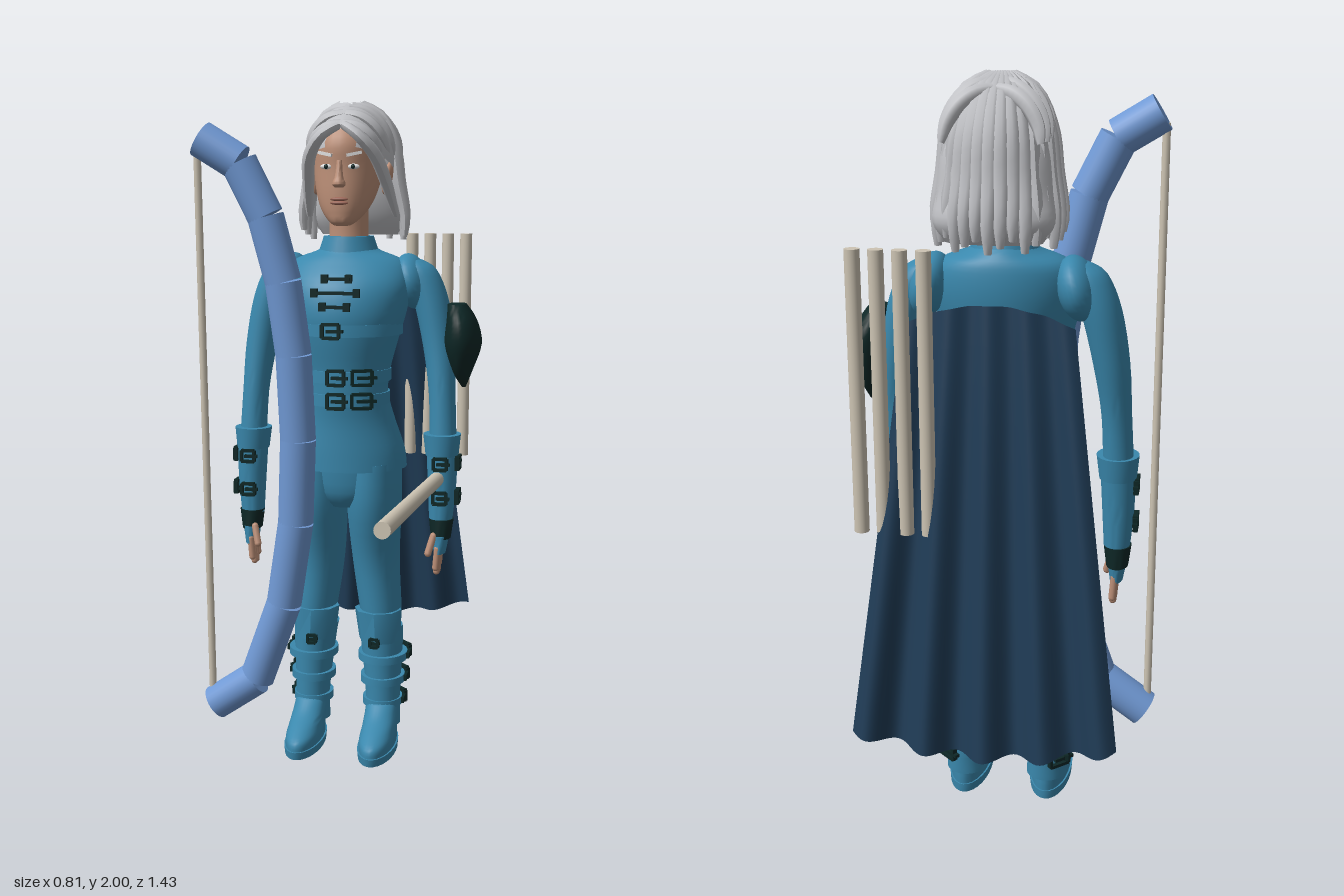
import * as THREE from 'three';
import { toCreasedNormals } from 'three/addons/utils/BufferGeometryUtils.js';

const mat = (name, color, side = THREE.FrontSide) => {
  const m = new THREE.MeshStandardMaterial({ color, side });
  m.name = name;
  return m;
};

export function createModel() {
  const root = new THREE.Group();
  root.name = 'archer';
  const cloth = mat('teal cloth', 0x3a88ad), dark = mat('black leather', 0x0e2726);
  const skin = mat('skin', 0xbd9078), hairMat = mat('silver hair', 0xbfc0c4);
  const bowMat = mat('blue bow', 0x7099d4), wood = mat('pale wood', 0xcdc4b3);
  const capeMat = mat('navy cape', 0x1f3b55, THREE.DoubleSide);
  const pale = mat('white brow', 0xe2e2e2), lipMat = mat('lips', 0x9c6657);

  const add = (name, geo, m, x = 0, y = 0, z = 0, rx = 0, ry = 0, rz = 0) => {
    const mesh = new THREE.Mesh(geo, m);
    mesh.name = name;
    mesh.position.set(x, y, z);
    mesh.rotation.set(rx, ry, rz);
    root.add(mesh);
    return mesh;
  };
  const V = (x, y, z) => new THREE.Vector3(x, y, z);

  // Smooth skin through elliptical rings [x, y, z, radiusX, radiusZ], bottom to top
  function loft(rings, seg = 28, steps = 4) {
    const all = [], n = rings.length, pos = [], idx = [];
    for (let i = 0; i < n - 1; i++) for (let s = 0; s < steps; s++) {
      const t = s / steps, r = k => rings[Math.min(n - 1, Math.max(0, i + k))];
      all.push(r(0).map((b, k) => {
        const a = r(-1)[k], c = r(1)[k], d = r(2)[k];
        return b + 0.5 * t * (c - a + t * (2 * a - 5 * b + 4 * c - d + t * (3 * (b - c) + d - a)));
      }));
    }
    all.push(rings[n - 1]);
    for (const [x, y, z, rx, rz] of all) for (let j = 0; j < seg; j++) {
      const a = j / seg * Math.PI * 2;
      pos.push(x + rx * Math.cos(a), y, z + rz * Math.sin(a));
    }
    const last = all.length - 1, b0 = all.length * seg;
    pos.push(...all[0].slice(0, 3), ...all[last].slice(0, 3));
    for (let j = 0; j < seg; j++) {
      const k = (j + 1) % seg;
      for (let i = 0; i < last; i++) {
        const a = i * seg + j, b = i * seg + k;
        idx.push(a, a + seg, b, b, a + seg, b + seg);
      }
      idx.push(b0, j, k, b0 + 1, last * seg + k, last * seg + j);
    }
    const g = new THREE.BufferGeometry();
    g.setAttribute('position', new THREE.Float32BufferAttribute(pos, 3));
    g.setIndex(idx);
    return toCreasedNormals(g, 0.8);
  }
  // Ring given by height, half width, front z and back z
  const R = (y, rx, zf, zb, x = 0) => [x, y, (zf + zb) / 2, rx, (zf - zb) / 2];

  function rod(name, a, b, r, m, seg = 16) {
    const d = b.clone().sub(a), mid = a.clone().add(b).multiplyScalar(0.5);
    const mesh = add(name, new THREE.CylinderGeometry(r, r, d.length(), seg), m, mid.x, mid.y, mid.z);
    mesh.quaternion.setFromUnitVectors(V(0, 1, 0), d.normalize());
  }
  // Tapered lock of hair
  function strand(pts, r) {
    const curve = new THREE.CatmullRomCurve3(pts), n = 14, g = new THREE.TubeGeometry(curve, n, r, 7);
    const p = g.attributes.position, v = V(0, 0, 0);
    for (let i = 0; i < p.count; i++) {
      const t = Math.floor(i / 8) / n, c = curve.getPointAt(t);
      v.fromBufferAttribute(p, i).sub(c).multiplyScalar(0.15 + 0.85 * Math.pow(Math.sin(Math.PI * (0.12 + 0.85 * t)), 0.5)).add(c);
      p.setXYZ(i, v.x, v.y, v.z);
    }
    g.computeVertexNormals();
    add('hairLock', g, hairMat);
  }
  // Open square buckle with a tongue
  function buckle(x, y, z, ry = 0, w = 0.045, h = 0.04) {
    const t = 0.009, g = new THREE.Group();
    g.name = 'buckle';
    for (const [bx, by, bw, bh] of [[0, h / 2, w, t], [0, -h / 2, w, t], [w / 2, 0, t, h], [-w / 2, 0, t, h], [w / 4, 0, w, t]]) {
      const m = new THREE.Mesh(new THREE.BoxGeometry(bw, bh, 0.014), dark);
      m.position.set(bx, by, 0);
      g.add(m);
    }
    g.position.set(x, y, z);
    g.rotation.y = ry;
    root.add(g);
  }

  // Jacket with flared hem, belts and collar
  add('jacket', loft([R(0.9, 0.185, -0.15, -0.45), R(0.96, 0.178, -0.15, -0.44), R(1.05, 0.15, -0.15, -0.41),
    R(1.13, 0.132, -0.14, -0.385), R(1.2, 0.137, -0.135, -0.385), R(1.3, 0.163, -0.115, -0.405), R(1.38, 0.185, -0.108, -0.425),
    R(1.46, 0.195, -0.13, -0.435), R(1.525, 0.17, -0.185, -0.43), R(1.555, 0.1, -0.215, -0.415), R(1.57, 0.075, -0.225, -0.4)], 40), cloth);
  add('collar', loft([R(1.54, 0.095, -0.21, -0.41), R(1.6, 0.075, -0.225, -0.39)]), cloth);
  for (const [y, r, zf, zb] of [[1.12, 0.137, -0.132, -0.39], [1.19, 0.141, -0.128, -0.39], [1.33, 0.175, -0.106, -0.415]])
    add('belt', loft([R(y - 0.018, r, zf, zb), R(y + 0.018, r, zf, zb)], 36, 1), cloth);
  for (const y of [1.12, 1.19]) {
    buckle(0, y, -0.124, 0, 0.05, 0.042);
    buckle(0.075, y, -0.148, 0.4, 0.06, 0.042);
  }
  buckle(-0.01, 1.33, -0.1, 0, 0.05);
  for (const y of [1.4, 1.44, 1.48]) {
    const z = y > 1.46 ? -0.135 : y > 1.42 ? -0.116 : -0.105, w = y === 1.44 ? 0.14 : 0.08;
    add('claspBar', new THREE.BoxGeometry(w, 0.009, 0.016), dark, 0, y, z);
    for (const s of [-1, 1]) add('claspKnot', new THREE.BoxGeometry(0.02, 0.025, 0.016), dark, s * w * 0.45, y, z - 0.004);
  }
  add('trouserSeat', loft([R(0.78, 0.06, -0.21, -0.37), R(0.83, 0.14, -0.18, -0.41), R(0.95, 0.16, -0.17, -0.42)]), cloth);

  for (const s of [-1, 1]) {
    // Legs and boots
    add('leg', loft([[s * 0.112, 0.3, -0.32, 0.05, 0.065], [s * 0.105, 0.42, -0.325, 0.064, 0.085], [s * 0.088, 0.6, -0.325, 0.073, 0.1],
      [s * 0.086, 0.78, -0.3, 0.084, 0.122], [s * 0.085, 0.92, -0.295, 0.085, 0.122]]), cloth);
    add('bootShaft', loft([[s * 0.115, 0.06, -0.315, 0.056, 0.058], [s * 0.115, 0.14, -0.315, 0.054, 0.062], [s * 0.113, 0.22, -0.32, 0.058, 0.07],
      [s * 0.108, 0.34, -0.325, 0.067, 0.082], [s * 0.103, 0.38, -0.325, 0.07, 0.085]]), cloth);
    add('kneeGuard', loft([[s * 0.105, 0.34, -0.305, 0.066, 0.075], [s * 0.1, 0.44, -0.3, 0.075, 0.075]], 8, 1), cloth);
    add('sole', loft([R(0, 0.058, -0.08, -0.37, s * 0.117), R(0.025, 0.06, -0.075, -0.372, s * 0.117)], 28, 1), cloth);
    add('foot', loft([R(0.02, 0.055, -0.08, -0.368, s * 0.117), R(0.05, 0.055, -0.085, -0.37, s * 0.117), R(0.075, 0.052, -0.13, -0.37, s * 0.117),
      R(0.105, 0.051, -0.2, -0.37, s * 0.116), R(0.14, 0.05, -0.25, -0.37, s * 0.115)]), cloth);
    for (const y of [0.135, 0.21, 0.285]) {
      const k = 0.062 + (y - 0.13) * 0.1;
      add('bootStrap', loft([[s * 0.113, y - 0.012, -0.32, k, k + 0.01], [s * 0.113, y + 0.012, -0.32, k, k + 0.01]], 28, 1), cloth);
      buckle(s * (0.113 + k * 0.72), y, -0.322 - k * 0.85, s * 2.4, 0.06, 0.034);
      add('strapEnd', new THREE.BoxGeometry(0.012, 0.018, 0.06), dark, s * (0.115 + k), y, -0.34);
    }
    buckle(s * 0.1, 0.345, -0.232, 0, 0.025, 0.025);

    // Arms, cap sleeves and gauntlets
    add('arm', loft([[s * 0.3, 0.95, -0.285, 0.042, 0.045], [s * 0.293, 1.12, -0.3, 0.04, 0.048], [s * 0.278, 1.27, -0.32, 0.048, 0.058],
      [s * 0.25, 1.41, -0.33, 0.053, 0.066], [s * 0.215, 1.5, -0.33, 0.05, 0.06], [s * 0.19, 1.53, -0.33, 0.03, 0.035]]), cloth);
    const cap = add('capSleeve', new THREE.SphereGeometry(1, 24, 16), cloth, s * 0.19, 1.465, -0.335, 0, 0, s * 0.25);
    cap.scale.set(0.052, 0.085, 0.095);
    add('gauntlet', loft([[s * 0.298, 0.74, -0.272, 0.035, 0.04], [s * 0.3, 0.85, -0.275, 0.043, 0.047], [s * 0.298, 0.98, -0.28, 0.048, 0.054]]), cloth);
    add('gauntletCuff', loft([[s * 0.298, 0.945, -0.28, 0.05, 0.056], [s * 0.297, 1.01, -0.282, 0.057, 0.064]], 28, 1), cloth);
    for (const y of [0.82, 0.925]) {
      buckle(s * 0.3, y, -0.222, 0, 0.04, 0.034);
      buckle(s * 0.348, y, -0.275, Math.PI / 2, 0.05, 0.036);
    }
    add('gloveBand', loft([[s * 0.3, 0.69, -0.27, 0.03, 0.045], [s * 0.3, 0.75, -0.272, 0.038, 0.044]], 20, 1), dark);
    add('palm', loft([[s * 0.298, 0.645, -0.262, 0.018, 0.042], [s * 0.3, 0.7, -0.268, 0.026, 0.045]], 20, 2), cloth);
    for (let i = 0; i < 4; i++)
      add('finger', new THREE.CapsuleGeometry(0.0105, 0.06 + (i % 3 ? 0.018 : 0), 4, 8), skin, s * 0.293, 0.632 - (i % 3 ? 0.008 : 0), -0.23 - i * 0.022, 0, 0, s * -0.08);
    add('thumb', new THREE.CapsuleGeometry(0.011, 0.055, 4, 8), skin, s * 0.275, 0.675, -0.225, -0.3, 0, s * -0.25);

    // Ears, eyes and brows
    const ear = add('ear', new THREE.SphereGeometry(1, 14, 12), skin, s * 0.112, 1.77, -0.335, -0.3, 0, s * -0.15);
    ear.scale.set(0.014, 0.05, 0.028);
    const tip = add('earTip', new THREE.ConeGeometry(0.026, 0.085, 14), skin, s * 0.118, 1.815, -0.352, -0.42, 0, s * -0.15);
    tip.scale.x = 0.4;
    add('eye', new THREE.SphereGeometry(1, 12, 8), pale, s * 0.04, 1.802, -0.181).scale.set(0.019, 0.008, 0.008);
    add('iris', new THREE.SphereGeometry(1, 10, 8), dark, s * 0.04, 1.802, -0.176).scale.set(0.007, 0.007, 0.006);
    add('brow', new THREE.BoxGeometry(0.045, 0.009, 0.009), pale, s * 0.043, 1.838, -0.176, 0, s * 0.3, s * 0.2);
  }

  // Neck, head and face
  add('neck', loft([[0, 1.54, -0.315, 0.064, 0.072], [0, 1.62, -0.31, 0.058, 0.064], [0, 1.72, -0.31, 0.06, 0.07]]), skin);
  add('head', loft([R(1.632, 0.022, -0.19, -0.235), R(1.645, 0.042, -0.178, -0.27), R(1.68, 0.07, -0.172, -0.33), R(1.73, 0.09, -0.17, -0.39),
    R(1.8, 0.102, -0.172, -0.44), R(1.87, 0.103, -0.172, -0.46), R(1.93, 0.08, -0.21, -0.44), R(1.96, 0.04, -0.27, -0.4)], 32), skin);
  add('nose', loft([[0, 1.742, -0.17, 0.012, 0.012], [0, 1.752, -0.168, 0.02, 0.025], [0, 1.775, -0.17, 0.012, 0.018], [0, 1.82, -0.175, 0.008, 0.01]], 14), skin);
  for (const y of [1.698, 1.709]) add('lip', new THREE.SphereGeometry(1, 14, 8), lipMat, 0, y, -0.171).scale.set(0.027, 0.006, 0.008);

  // Hair: tilted cap, bob at the back and overlapping locks
  const scalp = new THREE.SphereGeometry(1, 32, 20, 0, Math.PI * 2, 0, Math.PI * 0.55);
  scalp.scale(0.13, 0.16, 0.175).rotateX(-0.35);
  add('hairCap', scalp, hairMat, 0, 1.825, -0.345);
  add('hairBack', loft([R(1.6, 0.12, -0.43, -0.52), R(1.65, 0.15, -0.4, -0.55), R(1.72, 0.142, -0.38, -0.535),
    R(1.82, 0.13, -0.375, -0.515), R(1.9, 0.1, -0.37, -0.48)]), hairMat);
  const drop = [[1.985, 0.03, 0.03], [1.95, 0.085, 0.1], [1.86, 0.125, 0.155], [1.76, 0.14, 0.172], [1.66, 0.16, 0.195], [1.6, 0.158, 0.185]];
  for (let i = 0; i < 17; i++) {
    const a = (i / 8 - 1) * 1.5;
    strand(drop.map(([y, rx, rz], k) => V(Math.sin(a) * rx, y - (k === 5 ? 0.015 * (i % 3 - 1) : 0), -0.345 - Math.cos(a) * rz - k * 0.005)), 0.023);
  }
  for (const s of [-1, 1]) for (let i = 0; i < 7; i++) {
    const z = -0.205 - i * 0.04, h = Math.sqrt(1 - ((z + 0.35) / 0.185) ** 2);
    strand([0.02, 0.4, 0.8, 1.2, 1.5].map((a, k) => V(s * Math.sin(a) * 0.13 * (0.4 + 0.6 * h), 1.828 + Math.cos(a) * 0.153 * h, z - k * 0.016 + (i < 2 ? 0.02 * Math.sin(k * 0.8) : 0))), 0.02);
  }
  for (const s of [-1, 1])
    strand([V(s * 0.008, 1.92, -0.19), V(s * 0.05, 1.895, -0.168), V(s * 0.095, 1.84, -0.205), V(s * 0.118, 1.76, -0.28), V(s * 0.135, 1.66, -0.36)], 0.02);

  // Black guard on the left arm
  add('armGuard', loft([[0.355, 1.15, -0.32, 0.006, 0.008], [0.35, 1.2, -0.32, 0.03, 0.06], [0.35, 1.28, -0.32, 0.056, 0.095],
    [0.345, 1.35, -0.325, 0.045, 0.095], [0.33, 1.4, -0.325, 0.028, 0.05]]), dark);

  // Bow in jointed segments, leaning slightly in z
  const bz = y => -0.107 + y * 0.037;
  const bow = [[-0.375, 1.878], [-0.262, 1.81], [-0.187, 1.66], [-0.138, 1.475], [-0.11, 1.263], [-0.1, 1.013],
    [-0.11, 0.76], [-0.15, 0.504], [-0.24, 0.255], [-0.375, 0.16]].map(([x, y]) => V(x, y, bz(y)));
  for (let i = 0; i < bow.length - 1; i++) rod('bowSegment', bow[i], bow[i + 1], 0.053, bowMat, 28);
  rod('bowString', V(-0.387, 1.85, bz(1.85)), V(-0.384, 0.19, bz(0.19)), 0.011, wood, 10);

  // Arrows: one forward, four on the back
  rod('drawnArrow', V(0.303, 0.953, 0.72), V(0.303, 0.897, -0.142), 0.021, wood);
  for (let i = 0; i < 4; i++) rod('backArrow', V(0.145 + i * 0.0575, 0.885, -0.605), V(0.145 + i * 0.0575, 1.6, -0.605), 0.019, wood);

  // Pleated cape that widens towards the hem
  const cape = new THREE.PlaneGeometry(1, 1, 72, 12), p = cape.attributes.position;
  for (let i = 0; i < p.count; i++) {
    const u = p.getX(i) * 2, t = 0.5 - p.getY(i);
    p.setXYZ(i, u * (0.21 + 0.13 * t), 1.46 - t * (1.15 - 0.05 * u * u) - 0.05 * u * u * (1 - t),
      -0.55 - 0.135 * t - (0.006 + 0.022 * t) * Math.cos(u * Math.PI * 4.5));
  }
  cape.computeVertexNormals();
  add('cape', cape, capeMat);
  return root;
}
